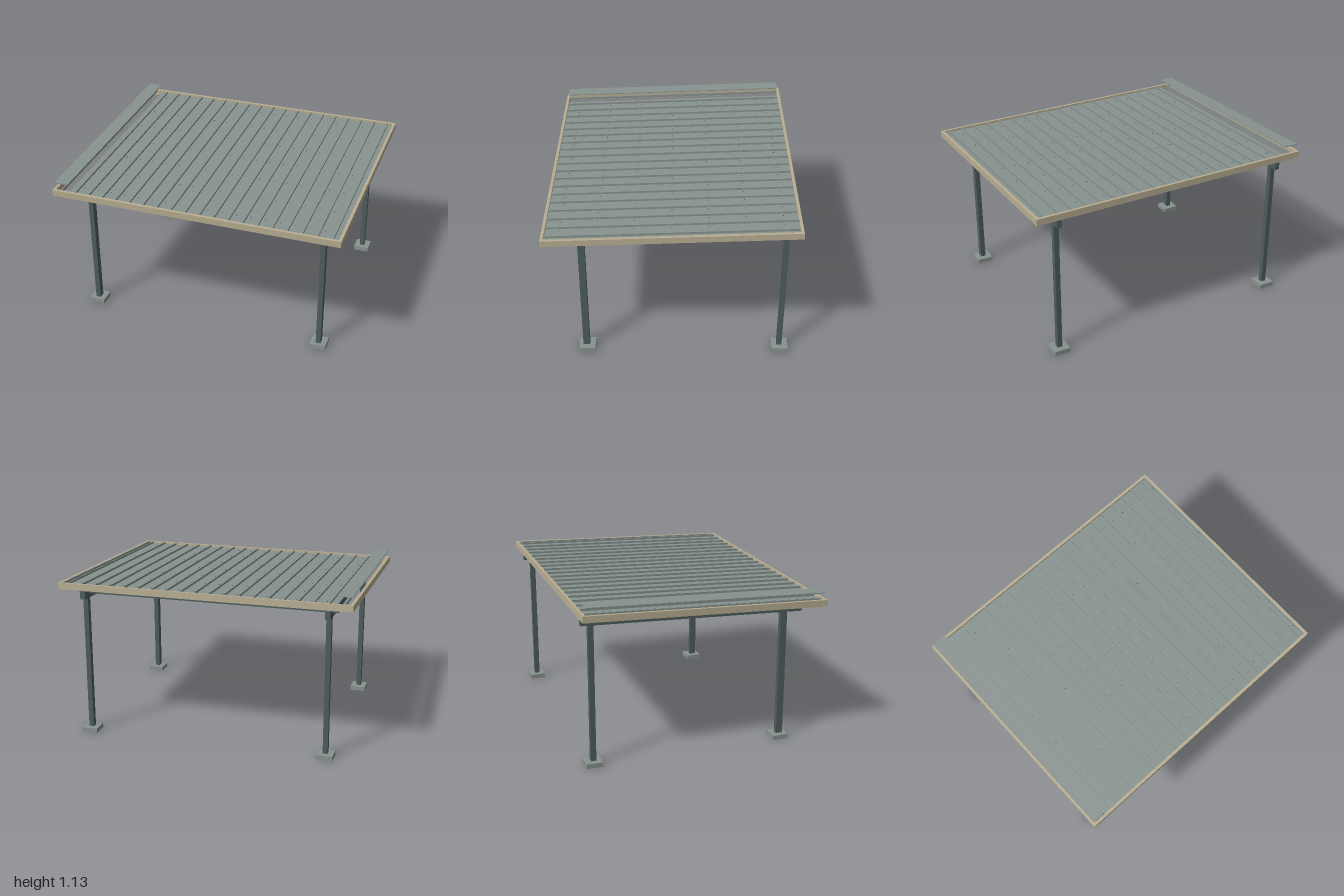
import * as THREE from 'three';

export function createModel() {
  const model = new THREE.Group();
  model.name = 'carport';
  const mat = (name, color) => {
    const m = new THREE.MeshStandardMaterial({ color });
    m.name = name;
    return m;
  };
  const steel = mat('dark steel', 0x4e5d5c);
  const sheet = mat('grey sheet metal', 0x87928e);
  const trim = mat('tan trim', 0xb8ad92);
  const concrete = mat('concrete', 0x87928f);

  const box = (parent, name, material, size, pos) => {
    const mesh = new THREE.Mesh(new THREE.BoxGeometry(...size), material);
    mesh.position.set(...pos);
    mesh.name = name;
    parent.add(mesh);
    return mesh;
  };

  // Posts on concrete footings, the front pair a little deeper
  for (const x of [-0.836, 0.836]) {
    for (const [z, depth, top] of [[0.672, 0.046, 0.94], [-0.664, 0.036, 0.99]]) {
      box(model, 'post', steel, [0.034, top - 0.02, depth], [x, (top + 0.02) / 2, z]);
      box(model, 'footing', concrete, [0.112, 0.032, 0.112], [x, 0.016, Math.sign(z) * 0.666]);
    }
  }

  // Everything above the posts shares the roof slope
  const roof = new THREE.Group();
  roof.name = 'slopedRoof';
  roof.rotation.x = 0.0393;
  model.add(roof);

  // Side rafters and cross purlins
  for (const x of [-0.836, 0.836]) {
    box(roof, 'rafter', steel, [0.034, 0.053, 1.535], [x, 0.967, 0]);
  }
  for (const z of [0.765, 0.038, -0.68]) {
    box(roof, 'purlin', steel, [1.785, 0.033, 0.032], [0, 0.988, z]);
  }

  // Fascia frame
  for (const s of [-1, 1]) {
    box(roof, 'sideFascia', trim, [0.02, 0.044, 1.668], [s * 0.99, 1.029, 0.04]);
    box(roof, 'endFascia', trim, [1.96, 0.044, 0.02], [0, 1.029, s * 0.824 + 0.04]);
  }

  // Roof sheets with a standing rib on each; the outermost sheet sits raised
  const pitch = 0.099, length = 1.628;
  const screwShape = new THREE.CylinderGeometry(0.003, 0.003, 0.012, 6);
  for (let i = 0; i < 20; i++) {
    const x = -0.99 + pitch * (i + 0.5);
    box(roof, 'rib', sheet, [0.008, 0.018, length], [x, 1.041, 0.04]);
    if (i === 0) {
      box(roof, 'raisedSheet', sheet, [pitch, 0.006, length], [x, 1.098, 0.04]);
      continue;
    }
    const width = i === 19 ? pitch - 0.01 : pitch;
    box(roof, 'roofSheet', sheet, [width, 0.005, length], [x - (pitch - width) / 2, 1.0335, 0.04]);
    // Fixing screws
    for (let k = 0; k < 7; k++) {
      const screw = new THREE.Mesh(screwShape, steel);
      screw.name = 'screw';
      screw.position.set(x + 0.028, 1.0335, -0.68 + k * 0.24);
      roof.add(screw);
    }
  }
  box(roof, 'edgeRib', sheet, [0.008, 0.018, length], [0.976, 1.041, 0.04]);
  return model;
}
